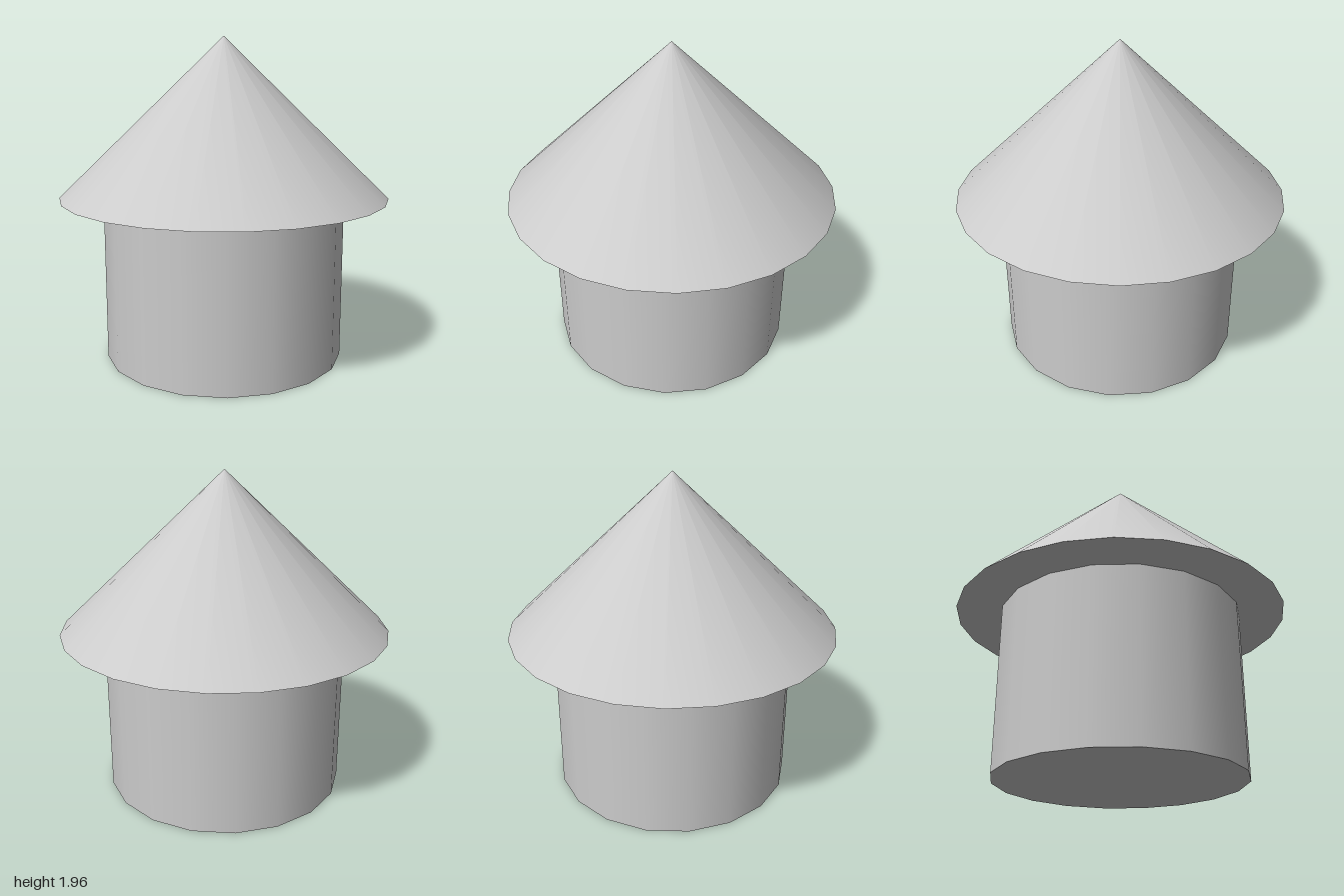
import * as THREE from 'three';

const BODY_RADIUS = 0.736;
const BODY_HEIGHT = 1.0;
const ROOF_RADIUS = 1.0;
const ROOF_HEIGHT = 0.96;

export function createModel() {
  const group = new THREE.Group();
  const material = new THREE.MeshStandardMaterial({ color: 0xcccccc });

  // Round wall, 18 sides with corners on the x axis
  const body = new THREE.Mesh(
    new THREE.CylinderGeometry(BODY_RADIUS, BODY_RADIUS, BODY_HEIGHT, 18, 1, false, Math.PI / 2),
    material
  );
  body.name = 'body';
  body.position.y = BODY_HEIGHT / 2;

  // Conical roof with a flat, overhanging underside
  const roof = new THREE.Mesh(new THREE.ConeGeometry(ROOF_RADIUS, ROOF_HEIGHT, 24), material);
  roof.name = 'roof';
  roof.position.y = BODY_HEIGHT + ROOF_HEIGHT / 2;

  group.add(body, roof);
  return group;
}
